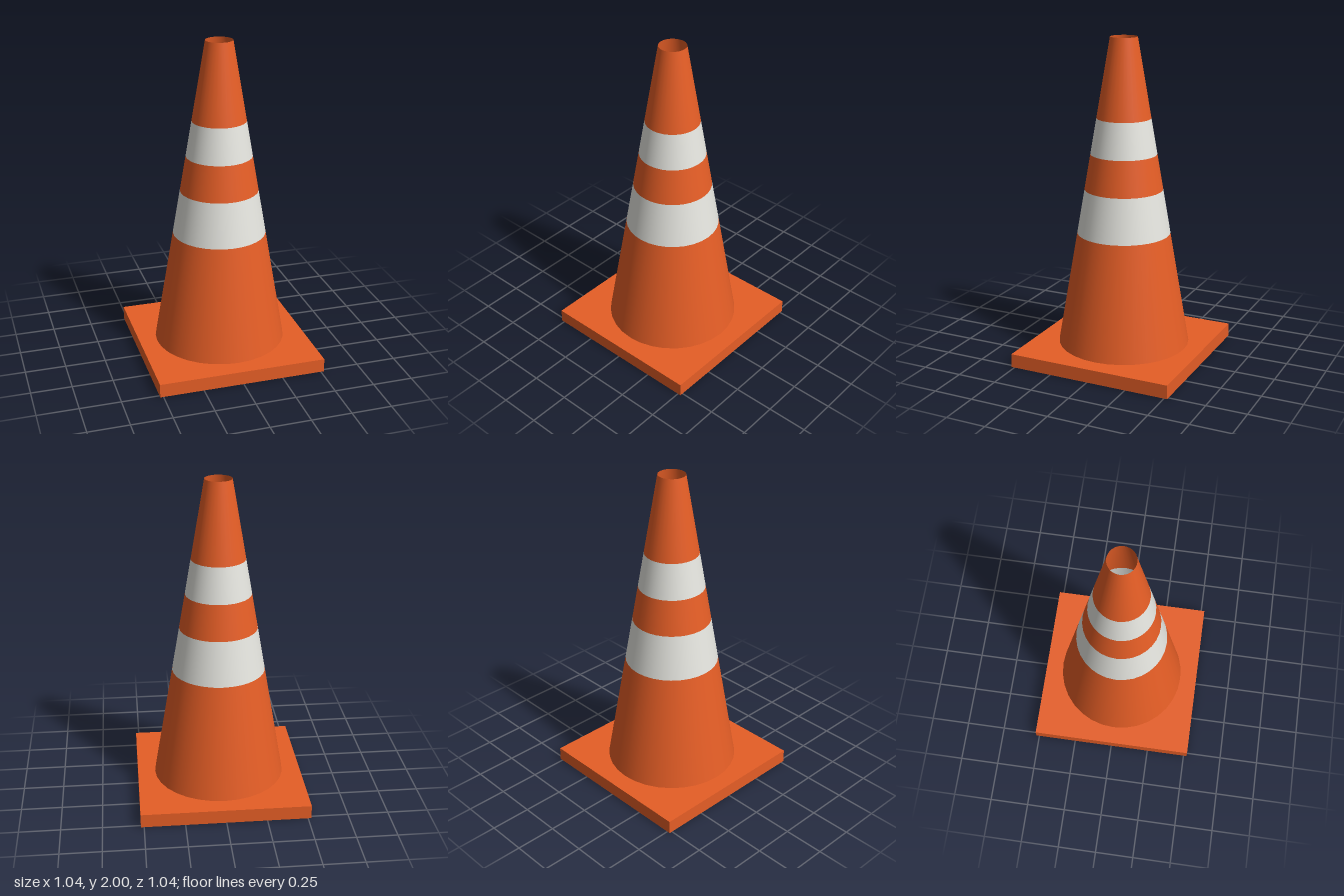
import * as THREE from 'three';

const BASE_HEIGHT = 0.085;
const BASE_WIDTH = 1.04;
const BOTTOM_RADIUS = 0.41;
const TOP_RADIUS = 0.083;
const TOP = 2;

// Radius of the tapering shell at a given height
const radiusAt = (y) =>
  THREE.MathUtils.mapLinear(y, BASE_HEIGHT, TOP, BOTTOM_RADIUS, TOP_RADIUS);

export function createModel() {
  const group = new THREE.Group();
  group.name = 'trafficCone';

  const orange = new THREE.MeshStandardMaterial({ color: 0xe65e26, side: THREE.DoubleSide });
  orange.name = 'orange';
  const white = new THREE.MeshStandardMaterial({ color: 0xe6e6e0, side: THREE.DoubleSide });
  white.name = 'reflectiveWhite';

  // Square foot plate
  const base = new THREE.Mesh(new THREE.BoxGeometry(BASE_WIDTH, BASE_HEIGHT, BASE_WIDTH), orange);
  base.name = 'base';
  base.position.y = BASE_HEIGHT / 2;
  group.add(base);

  // Hollow shell, stacked from open sections that share one taper
  const sections = [
    ['lowerBody', BASE_HEIGHT, 0.797, orange],
    ['lowerBand', 0.797, 1.073, white],
    ['middleBody', 1.073, 1.293, orange],
    ['upperBand', 1.293, 1.513, white],
    ['upperBody', 1.513, TOP, orange],
  ];
  for (const [name, y0, y1, material] of sections) {
    const geometry = new THREE.CylinderGeometry(radiusAt(y1), radiusAt(y0), y1 - y0, 32, 1, true);
    const section = new THREE.Mesh(geometry, material);
    section.name = name;
    section.position.y = (y0 + y1) / 2;
    group.add(section);
  }

  return group;
}
